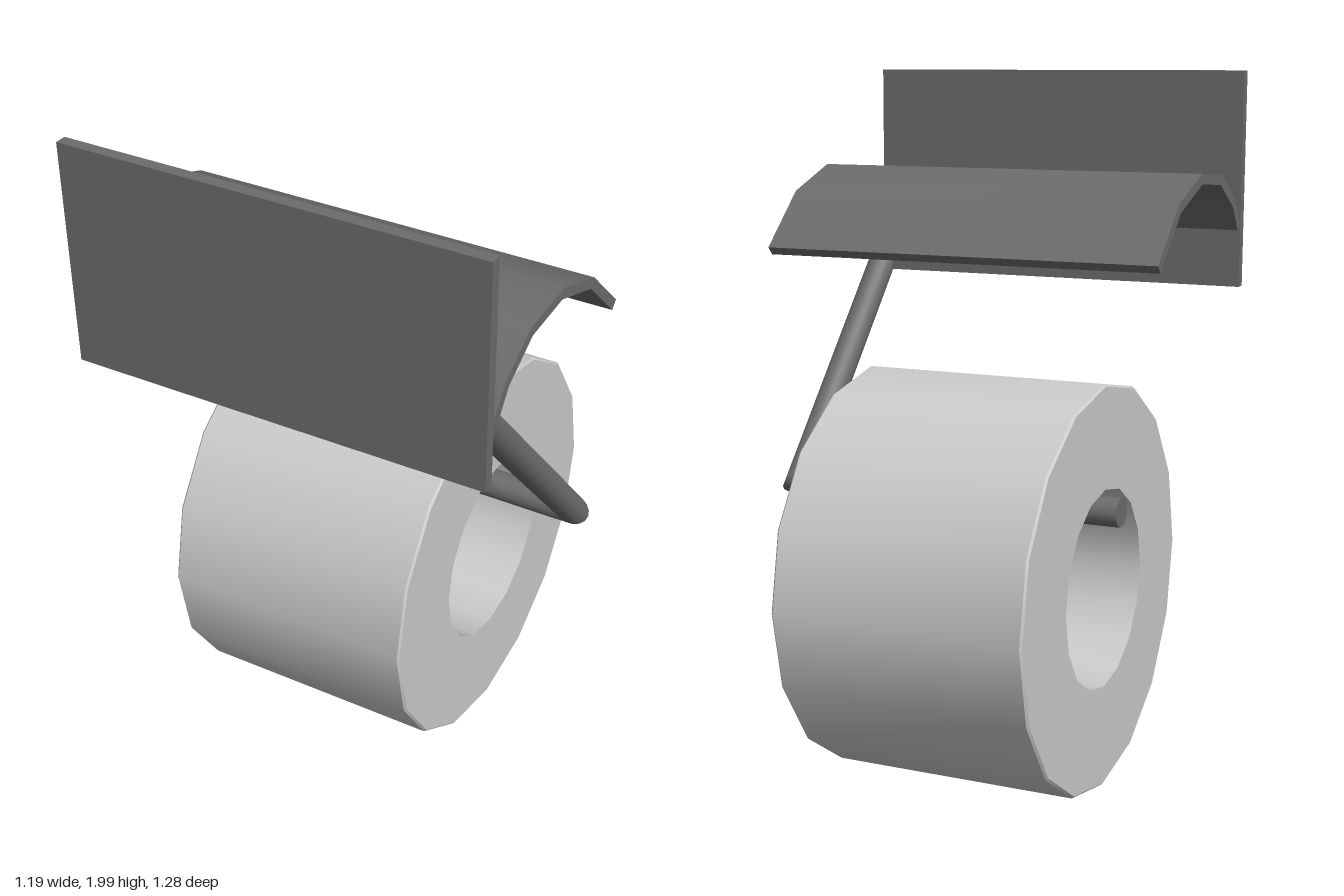
import * as THREE from 'three';
import { toCreasedNormals } from 'three/addons/utils/BufferGeometryUtils.js';

const dark = new THREE.MeshStandardMaterial({ color: 0x6c6c6c });
const paper = new THREE.MeshStandardMaterial({ color: 0xcccccc });
const WIDTH = 1.19;

function addMesh(parent, name, geometry, material) {
  const mesh = new THREE.Mesh(geometry, material);
  mesh.name = name;
  parent.add(mesh);
  return mesh;
}

// Thin strip of given thickness following [z, y] points, extruded along x
function stripGeometry(points, thickness, width) {
  const line = points.map(([z, y]) => new THREE.Vector2(-z, y));
  const upper = [], lower = [];
  line.forEach((p, i) => {
    const before = line[Math.max(i - 1, 0)];
    const after = line[Math.min(i + 1, line.length - 1)];
    const dir = after.clone().sub(before).normalize();
    const normal = new THREE.Vector2(-dir.y, dir.x).multiplyScalar(thickness / 2);
    upper.push(p.clone().add(normal));
    lower.unshift(p.clone().sub(normal));
  });
  const geo = new THREE.ExtrudeGeometry(new THREE.Shape([...upper, ...lower]),
    { depth: width, bevelEnabled: false, steps: 1 });
  geo.rotateY(Math.PI / 2).translate(-width / 2, 0, 0);
  return toCreasedNormals(geo, 0.75);
}

// Cylinder along y from 0 to length; the end at y = 0 is cut at 45 degrees
function mitredRod(radius, length) {
  const geo = new THREE.CylinderGeometry(radius, radius, length, 16);
  geo.translate(0, length / 2, 0);
  const pos = geo.attributes.position;
  for (let i = 0; i < pos.count; i++) {
    if (pos.getY(i) < 1e-4) pos.setY(i, -pos.getX(i));
  }
  return toCreasedNormals(geo, 0.6);
}

export function createModel() {
  const model = new THREE.Group();
  model.name = 'paperRollHolder';

  // Wall plate
  addMesh(model, 'wallPlate', new THREE.BoxGeometry(WIDTH, 0.635, 0.033), dark)
    .position.set(-0.003, 1.6825, 0.624);

  // Curved cover flap
  const flap = [[0.597, 1.545], [0.54, 1.62], [0.412, 1.694],
    [0.24, 1.705], [0.055, 1.638], [-0.105, 1.487]];
  addMesh(model, 'cover', stripGeometry(flap, 0.03, WIDTH), dark).position.x = -0.003;

  // Bent rod: sloping arm and horizontal spindle meeting in a mitred elbow
  const rod = new THREE.Group();
  rod.name = 'rod';
  rod.position.set(0.527, 0.81, -0.065);
  rod.rotation.x = Math.atan2(0.65, 0.73);
  addMesh(rod, 'arm', mitredRod(0.042, 0.975), dark);
  const spindle = addMesh(rod, 'spindle', mitredRod(0.042, 1.015), dark);
  spindle.rotation.set(Math.PI, 0, Math.PI / 2);
  // Swapping x and y keeps the spindle's cut in the same plane as the arm's
  spindle.rotation.set(0, 0, 0);
  spindle.geometry.rotateY(Math.PI).rotateZ(Math.PI / 2);
  model.add(rod);

  // Paper roll with slightly chamfered outer edges
  const R = 0.58, r = 0.285, h = 0.365, c = 0.006;
  const profile = [[r, -h], [R - c, -h], [R, -h + c], [R, h - c], [R - c, h], [r, h], [r, -h]]
    .map(([x, y]) => new THREE.Vector2(x, y));
  const rollGeo = new THREE.LatheGeometry(profile, 16).rotateZ(-Math.PI / 2);
  const roll = addMesh(model, 'paperRoll', toCreasedNormals(rollGeo, 0.6), paper);
  roll.position.set(-0.075, 0.585, -0.06);
  roll.rotation.x = -0.013;

  return model;
}
